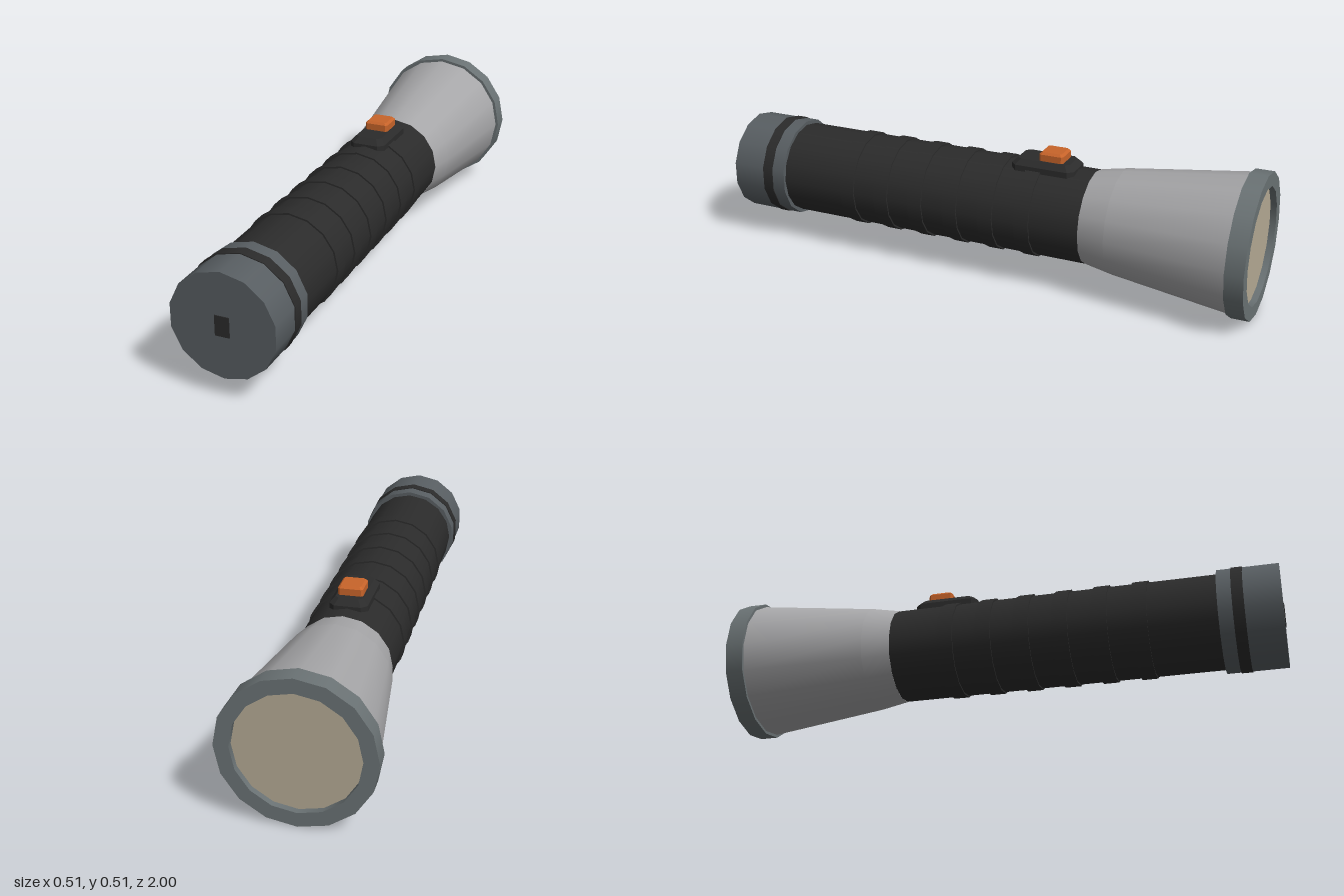
import * as THREE from 'three';
import { mergeGeometries } from 'three/addons/utils/BufferGeometryUtils.js';

const AXIS = 0.258; // height of the barrel axis

const mat = (name, color) => new THREE.MeshStandardMaterial({ name, color });

// Turns a profile of [radius, z] around the z axis; every profile corner stays sharp.
function turned(points, sides) {
  const parts = [];
  for (let i = 0; i + 1 < points.length; i++) {
    const pair = [points[i], points[i + 1]].map(([r, z]) => new THREE.Vector2(r, z));
    parts.push(new THREE.LatheGeometry(pair, sides));
  }
  return mergeGeometries(parts).rotateX(Math.PI / 2).translate(0, AXIS, 0);
}

// Stacks cut-corner rectangles [y, halfX, halfZ, cut] and caps the top and bottom.
function chamferedBlock(sections) {
  const rings = sections.map(([y, x, z, c]) => [
    [x, z - c], [x, c - z], [x - c, -z], [c - x, -z],
    [-x, c - z], [-x, z - c], [c - x, z], [x - c, z],
  ].map(([px, pz]) => [px, y, pz]));
  const pos = [];
  const tri = (a, b, c) => pos.push(...a, ...b, ...c);
  for (let k = 0; k + 1 < rings.length; k++) {
    for (let i = 0; i < 8; i++) {
      const j = (i + 1) % 8;
      tri(rings[k][i], rings[k][j], rings[k + 1][j]);
      tri(rings[k][i], rings[k + 1][j], rings[k + 1][i]);
    }
  }
  const top = rings[rings.length - 1], bottom = rings[0];
  for (let i = 1; i < 7; i++) {
    tri(top[0], top[i], top[i + 1]);
    tri(bottom[0], bottom[i + 1], bottom[i]);
  }
  const geo = new THREE.BufferGeometry();
  geo.setAttribute('position', new THREE.Float32BufferAttribute(pos, 3));
  geo.computeVertexNormals();
  return geo;
}

export function createModel() {
  const group = new THREE.Group();
  group.name = 'flashlight';
  const black = mat('black rubber', 0x2b2b2b);
  const silver = mat('silver', 0xa6a6a8);
  const steel = mat('steel grey', 0x6a7274);
  const slate = mat('slate grey', 0x585e62);
  const cream = mat('cream lens', 0xb5aa94);
  const orange = mat('orange', 0xc8642a);

  const add = (name, geo, material) => {
    const mesh = new THREE.Mesh(geo, material);
    mesh.name = name;
    group.add(mesh);
    return mesh;
  };

  // Grip with raised ribs
  add('barrel', turned([[0, -0.4], [0.17, -0.4], [0.17, 0.78]], 16), black);
  for (let i = 0; i < 6; i++) {
    const z = -0.19 + i * 0.14;
    add('gripRib', turned([[0.165, z - 0.028], [0.176, z - 0.028], [0.176, z + 0.028], [0.165, z + 0.028]], 16), black);
  }

  // Flared head, rim and recessed lens
  add('head', turned([[0.247, -0.94], [0.19, -0.5], [0.171, -0.4], [0.16, -0.4]], 16), silver);
  add('headRim', turned([[0.207, -0.975], [0.207, -1], [0.257, -1], [0.257, -0.935], [0.24, -0.935]], 16), steel);
  add('lens', turned([[0, -0.978], [0.21, -0.978]], 16), cream);

  // Tail cap: collar, seal ring, end cap and end plate
  add('tailCollar', turned([[0.16, 0.78], [0.184, 0.78], [0.184, 0.83]], 14), slate);
  add('sealRing', turned([[0.17, 0.83], [0.187, 0.83], [0.187, 0.87], [0.17, 0.87]], 14), black);
  add('tailCap', turned([[0.17, 0.87], [0.184, 0.87], [0.184, 0.997], [0, 0.997]], 14), slate);
  add('endPlate', new THREE.BoxGeometry(0.05, 0.07, 0.006), black).position.set(0, AXIS, 0.997);

  // Switch base and sliding button
  add('switchBase', chamferedBlock([
    [0.4, 0.067, 0.118, 0.02], [0.435, 0.067, 0.118, 0.02], [0.455, 0.049, 0.098, 0.015],
  ]), black).position.z = -0.22;
  add('switchButton', chamferedBlock([
    [0.45, 0.044, 0.045, 0.007], [0.479, 0.044, 0.045, 0.007], [0.487, 0.036, 0.037, 0.005],
  ]), orange).position.z = -0.248;

  return group;
}
